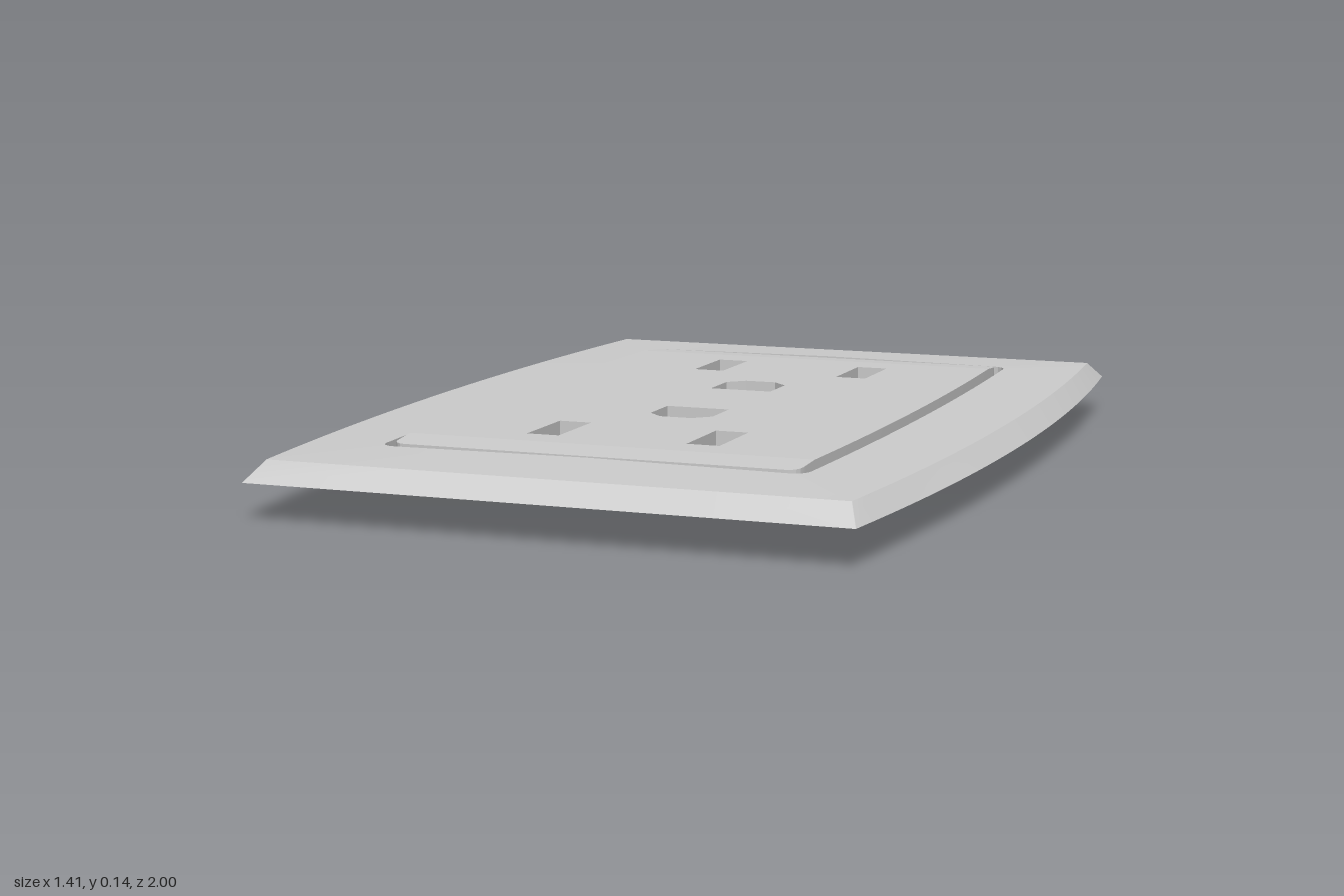
import * as THREE from 'three';
import { toCreasedNormals } from 'three/addons/utils/BufferGeometryUtils.js';

const material = new THREE.MeshStandardMaterial({ color: 0xcccccc, side: THREE.DoubleSide });
const BREAK = 0.65; // z where the panel starts to slope down
const TOP = 0.137;

// Closed [x, z] outline: straight ends, bowed long sides, rounded corners
function outline(hx, hz, bow, r) {
  const q = [];
  const sideX = z => hx + bow * (1 - (z / hz) ** 2);
  for (let k = 0; k <= 8; k++) q.push([sideX(BREAK * k / 8), BREAK * k / 8]);
  for (let k = 1; k <= 4; k++) {
    const z = BREAK + (hz - r - BREAK) * k / 4;
    q.push([sideX(z), z]);
  }
  const cx = sideX(hz - r) - r;
  for (let k = 1; k <= 4; k++) {
    const a = k / 4 * Math.PI / 2;
    q.push([cx + r * Math.cos(a), hz - r + r * Math.sin(a)]);
  }
  q.push([hx / 2, hz], [0, hz]);
  const half = [...q, ...q.slice(1, -1).reverse().map(([x, z]) => [-x, z])];
  return [...half, ...half.map(([x, z]) => [-x, -z])].filter(
    (p, i, a) => i === 0 || Math.hypot(p[0] - a[i - 1][0], p[1] - a[i - 1][1]) > 1e-6);
}

// Lift an outline to 3D with a height, or a height rule
const lift = (points, y) =>
  points.map(([x, z]) => [x, typeof y === 'function' ? y(x, z) : y, z]);

// Skin between consecutive rings having equal point counts
function loft(rings) {
  const n = rings[0].length;
  const index = [];
  for (let r = 0; r < rings.length - 1; r++) {
    for (let i = 0; i < n; i++) {
      const a = r * n + i, b = r * n + (i + 1) % n;
      index.push(a, a + n, b, b, a + n, b + n);
    }
  }
  const g = new THREE.BufferGeometry();
  g.setAttribute('position', new THREE.Float32BufferAttribute(rings.flat(2), 3));
  g.setIndex(index);
  return toCreasedNormals(g, 0.35);
}

// Upward facing sheet filling an outline, with holes, at a height rule
function sheet(points, heightAt, holes = []) {
  const toV = pts => pts.map(([x, z]) => new THREE.Vector2(x, -z));
  const shape = new THREE.Shape(toV(points));
  shape.holes = holes.map(h => new THREE.Path(toV(h)));
  const g = new THREE.ShapeGeometry(shape).rotateX(-Math.PI / 2);
  const p = g.attributes.position;
  for (let i = 0; i < p.count; i++) p.setY(i, heightAt(p.getX(i), p.getZ(i)));
  g.computeVertexNormals();
  return g;
}

export function createModel() {
  const model = new THREE.Group();
  const add = (name, geometry, parent = model) => {
    const mesh = new THREE.Mesh(geometry, material);
    mesh.name = name;
    parent.add(mesh);
  };

  const rim = outline(0.643, 1, 0.062, 0.002);
  const shoulder = outline(0.617, 0.945, 0.048, 0.002);
  const lip = outline(0.46, 0.757, 0.02, 0.035);
  const panel = outline(0.44, 0.738, 0.02, 0.027);
  const panelY = (x, z) => TOP - 0.007 * Math.max(0, (Math.abs(z) - BREAK) / 0.088);
  const lipY = (x, z) => 0.127 + (Math.abs(z) > 0.75 ? 0.004 * (1 - Math.abs(x) / 0.46) : 0);

  // Cover plate: open shell with bevelled rim and slightly domed face
  add('bevelledRim', loft([lift(rim, 0.08), lift(shoulder, 0.12)]));
  add('plateFace', loft([lift(shoulder, 0.12), lift(lip, lipY)]));

  // Narrow groove around the raised panel
  add('panelGroove', loft([lift(lip, lipY), lift(lip, 0.107), lift(panel, 0.107), lift(panel, panelY)]));

  // Socket openings: two slots and one chamfered ground hole at each end
  const sockets = [];
  for (const s of [1, -1]) {
    for (const x of [0.178, -0.178]) {
      sockets.push(['slot', [[x - 0.036, 0.4], [x + 0.036, 0.4], [x + 0.036, 0.57], [x - 0.036, 0.57]]
        .map(([px, z]) => [px * s, z * s])]);
    }
    sockets.push(['groundHole', [[-0.072, 0.135], [0.072, 0.135], [0.072, 0.235], [0.036, 0.27],
      [-0.036, 0.27], [-0.072, 0.235]].map(([px, z]) => [px * s, z * s])]);
  }

  // Raised panel: flat pierced middle and two gently sloping ends
  const eps = 1e-4;
  add('panelMiddle', sheet(panel.filter(p => Math.abs(p[1]) <= BREAK + eps), panelY, sockets.map(s => s[1])));
  for (const s of [1, -1]) {
    add(s > 0 ? 'panelFrontEnd' : 'panelBackEnd',
      sheet(panel.filter(p => p[1] * s >= BREAK - eps), panelY));
  }

  // Socket wells hanging below the panel
  for (const [name, points] of sockets) {
    const well = new THREE.Group();
    well.name = name;
    add(name + 'Walls', loft([lift(points, TOP), lift(points, 0)]), well);
    add(name + 'Floor', sheet(points, () => 0), well);
    model.add(well);
  }
  return model;
}
